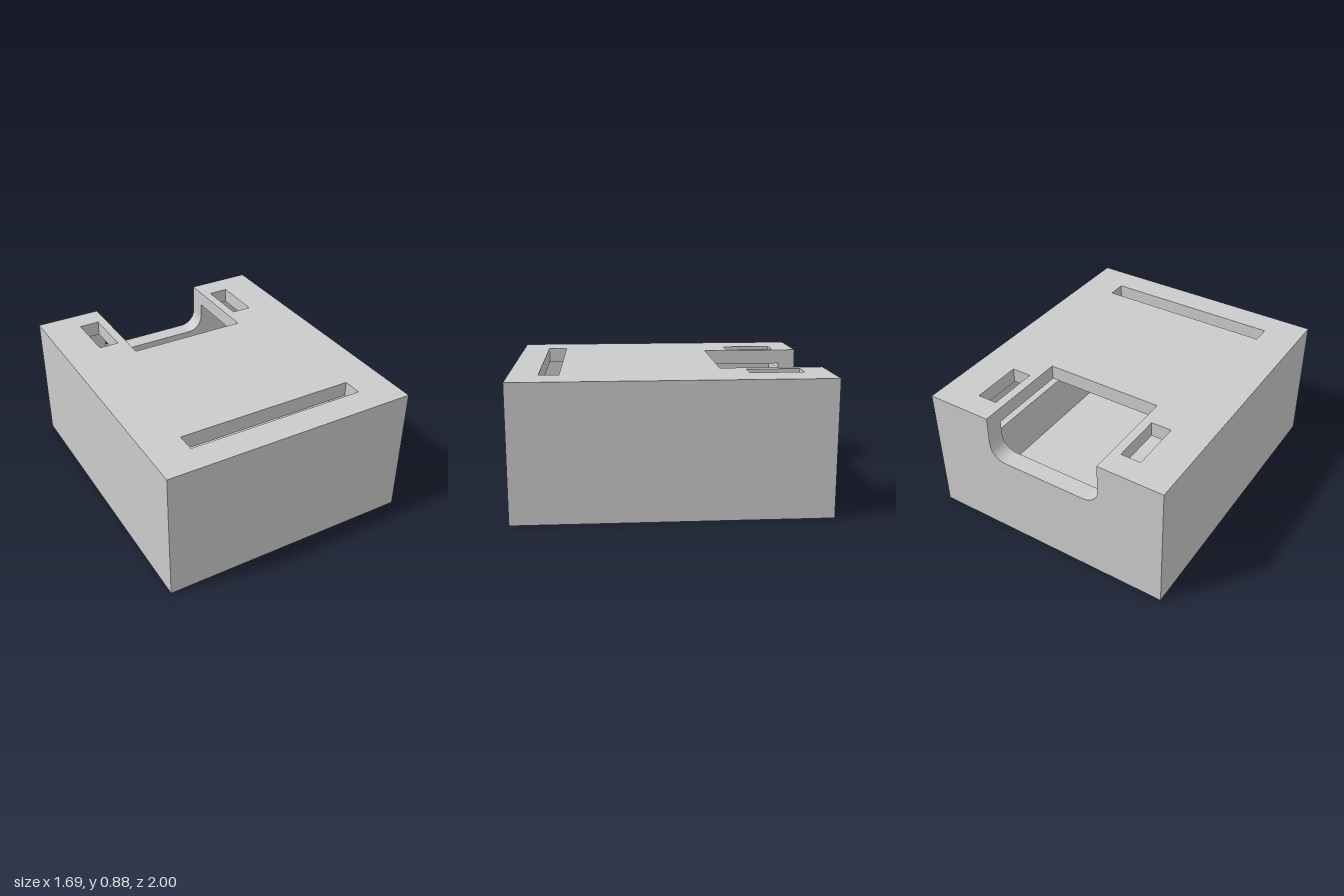
import * as THREE from 'three';

const W = 0.847, H = 0.877, D = 1;      // half width, height, half depth
const LID = 0.1, WALL = 0.12;           // thicknesses
const CUT = 0.403;                      // half width of the rear opening

export function createModel() {
  const group = new THREE.Group();
  group.name = 'hollowCase';
  const material = new THREE.MeshStandardMaterial({ color: 0xcccccc, flatShading: true });
  const top = H - LID;

  const polygon = (points) => new THREE.Shape(points.map(([x, y]) => new THREE.Vector2(x, y)));
  const extrude = (shape, depth) =>
    new THREE.ExtrudeGeometry(shape, { depth, bevelEnabled: false, curveSegments: 8 });
  const add = (name, geometry) => {
    const mesh = new THREE.Mesh(geometry, material);
    mesh.name = name;
    group.add(mesh);
  };

  // Floor and side walls: a trough with a step along each side
  const floor = 0.12, ledge = 0.47, lower = 0.625, upper = 0.76;
  const trough = polygon([
    [-W, 0], [W, 0], [W, top], [upper, top], [upper, ledge], [lower, ledge], [lower, floor],
    [-lower, floor], [-lower, ledge], [-upper, ledge], [-upper, top], [-W, top],
  ]);
  add('floorAndSides', extrude(trough, 2 * (D - WALL)).translate(0, 0, -D + WALL));

  // Closed front wall
  const front = polygon([[-W, 0], [W, 0], [W, top], [-W, top]]);
  add('frontWall', extrude(front, WALL).translate(0, 0, D - WALL));

  // Rear wall with a rounded notch
  const notch = 0.57, r = 0.11;
  const back = new THREE.Shape();
  back.moveTo(-W, 0);
  back.lineTo(W, 0);
  back.lineTo(W, top);
  back.lineTo(CUT, top);
  back.lineTo(CUT, notch + r);
  back.absarc(CUT - r, notch + r, r, 0, -Math.PI / 2, true);
  back.lineTo(-CUT + r, notch);
  back.absarc(-CUT + r, notch + r, r, -Math.PI / 2, -Math.PI, true);
  back.lineTo(-CUT, top);
  back.lineTo(-W, top);
  back.closePath();
  add('backWall', extrude(back, WALL).translate(0, 0, -D));

  // Lid with the rear opening, two short slots and one long slot
  const lid = polygon([
    [-W, -D], [-CUT, -D], [-CUT, -0.33], [CUT, -0.33], [CUT, -D], [W, -D], [W, D], [-W, D],
  ]);
  const slots = [
    [-0.598, -0.463, -0.838, -0.493],
    [0.463, 0.598, -0.838, -0.493],
    [-0.598, 0.598, 0.688, 0.815],
  ];
  for (const [x0, x1, z0, z1] of slots) {
    lid.holes.push(polygon([[x0, z0], [x0, z1], [x1, z1], [x1, z0]]));
  }
  add('lid', extrude(lid, LID).rotateX(Math.PI / 2).translate(0, H, 0));

  return group;
}
